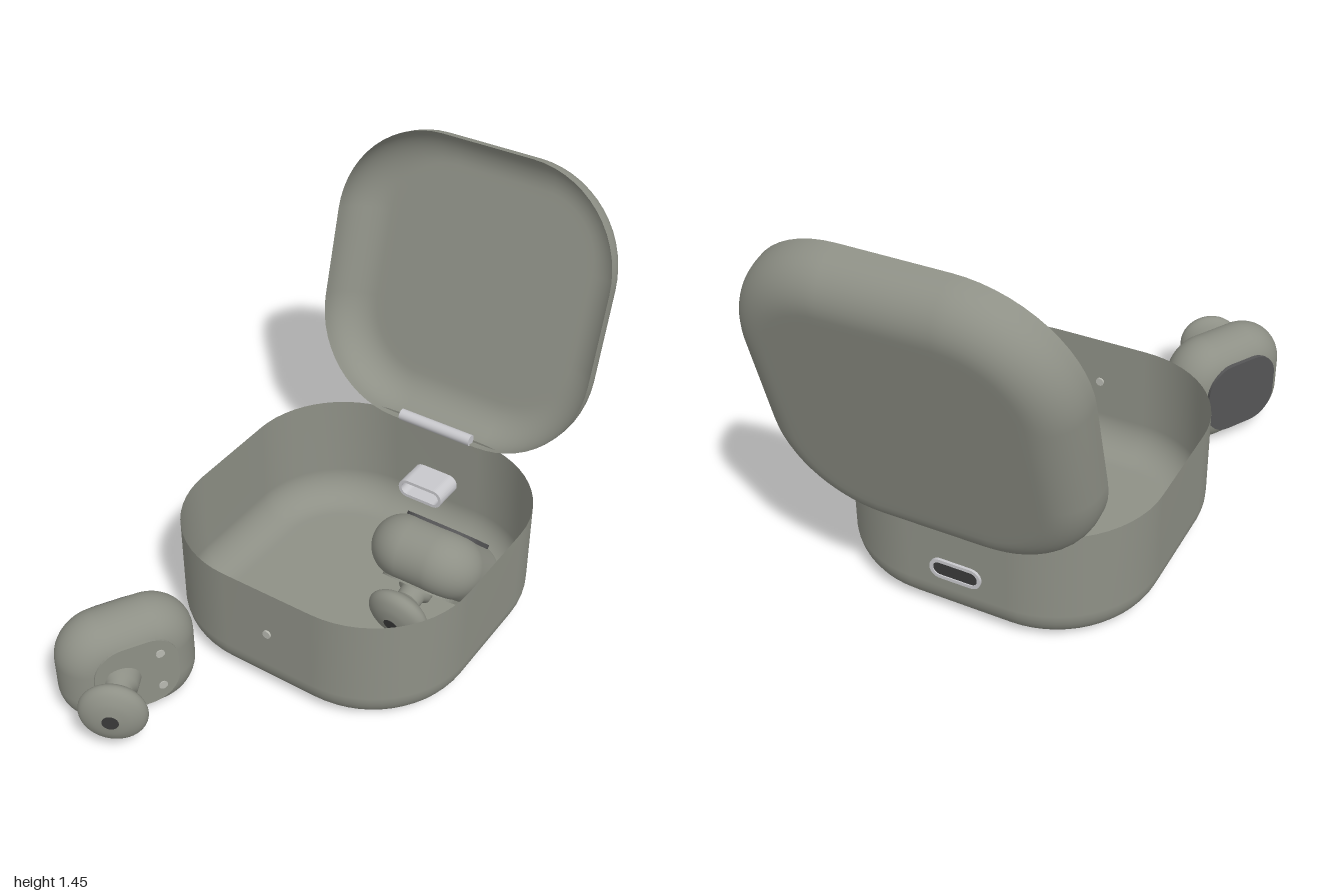
import * as THREE from 'three';

const mat = (name, color, side = THREE.FrontSide) => {
  const m = new THREE.MeshStandardMaterial({ color, side });
  m.name = name;
  return m;
};

// Rounded rectangle outline, counter-clockwise, half sizes a and b, corner radius r
function outline(a, b, r, steps = 14) {
  const pts = [];
  [[1, 1], [-1, 1], [-1, -1], [1, -1]].forEach(([sx, sy], q) => {
    for (let i = 0; i <= steps; i++) {
      const t = (q + i / steps) * Math.PI / 2;
      pts.push([sx * (a - r) + r * Math.cos(t), sy * (b - r) + r * Math.sin(t)]);
    }
  });
  return pts;
}

// Skin over rounded rectangles stacked along z; each level is [z, inset]
function loft(a, b, r, levels, capStart, capEnd) {
  const pos = [], idx = [];
  let n = 0;
  for (const [z, inset] of levels) {
    const ring = outline(a - inset, b - inset, Math.max(r - inset, 0.01));
    n = ring.length;
    ring.forEach(([x, y]) => pos.push(x, y, z));
  }
  for (let i = 0; i < levels.length - 1; i++) {
    for (let j = 0; j < n; j++) {
      const k = (j + 1) % n, p = i * n, q = p + n;
      idx.push(p + j, p + k, q + k, p + j, q + k, q + j);
    }
  }
  const cap = (level, flip) => {
    const c = pos.length / 3, p = level * n;
    pos.push(0, 0, levels[level][0]);
    for (let j = 0; j < n; j++) {
      const k = (j + 1) % n;
      if (flip) idx.push(c, p + k, p + j);
      else idx.push(c, p + j, p + k);
    }
  };
  if (capStart) cap(0, true);
  if (capEnd) cap(levels.length - 1, false);
  const g = new THREE.BufferGeometry();
  g.setAttribute('position', new THREE.Float32BufferAttribute(pos, 3));
  g.setIndex(idx);
  g.computeVertexNormals();
  return g;
}

// Open tray with a rounded floor edge
function tray(a, b, r, depth, fillet) {
  const levels = [[0, fillet + 0.03]];
  for (let i = 0; i <= 10; i++) {
    const t = i / 10 * Math.PI / 2;
    levels.push([fillet * (1 - Math.cos(t)), fillet * (1 - Math.sin(t))]);
  }
  levels.push([depth, 0]);
  return loft(a, b, r, levels, true, false);
}

// Rounded plate between two z levels
function plate(a, b, r, z0, z1, hole) {
  const toV = p => p.map(([x, y]) => new THREE.Vector2(x, y));
  const s = new THREE.Shape(toV(outline(a, b, r, 10)));
  if (hole) s.holes.push(new THREE.Path(toV(outline(a - hole, b - hole, r - hole, 10))));
  return new THREE.ExtrudeGeometry(s, { depth: z1 - z0, bevelEnabled: false }).translate(0, 0, z0);
}

export function createModel() {
  const model = new THREE.Group();
  const shell = mat('shell grey', 0x8e9086, THREE.DoubleSide);
  const pad = mat('touch pad dark grey', 0x555556);
  const dark = mat('opening black', 0x3a3a3a);
  const metal = mat('light metal', 0xc8c8cc);
  const light = mat('pale contact', 0xb8b9b1);

  const add = (parent, name, geometry, material) => {
    const m = new THREE.Mesh(geometry, material);
    m.name = name;
    parent.add(m);
    return m;
  };

  // Charging case base
  const base = add(model, 'caseBase', tray(0.53, 0.53, 0.36, 0.435, 0.12), shell);
  base.rotation.x = -Math.PI / 2;
  base.position.z = -0.11;

  // Lid, leaning back
  const lid = add(model, 'caseLid', tray(0.53, 0.523, 0.36, 0.155, 0.13), shell);
  lid.rotation.x = -Math.PI / 12;
  lid.position.set(0, 0.9, -0.892);

  // Hinge barrel
  const hinge = add(model, 'hinge', new THREE.CylinderGeometry(0.021, 0.021, 0.29, 20), metal);
  hinge.rotation.z = Math.PI / 2;
  hinge.position.set(0, 0.445, -0.622);

  // Charging port through the rear wall
  const port = new THREE.Group();
  port.name = 'chargingPort';
  port.position.set(0, 0.2, 0);
  add(port, 'portSleeve', plate(0.09, 0.037, 0.036, -0.649, -0.525, 0.012), metal);
  add(port, 'portOpening', plate(0.079, 0.026, 0.025, -0.645, -0.639), dark);
  model.add(port);

  // Status light on the front wall
  const led = add(model, 'statusLight', new THREE.CylinderGeometry(0.015, 0.015, 0.014, 20), light);
  led.rotation.x = Math.PI / 2;
  led.position.set(0, 0.26, 0.42);

  // Earbud: z points towards the ear, y towards the tip side
  function earbud(name) {
    const bud = new THREE.Group();
    bud.name = name;
    const h = 0.11, levels = [];
    levels.push([-h, h - 0.11 + 0.135]);
    for (let i = 0; i <= 20; i++) {
      const t = (i / 20 - 0.5) * Math.PI;
      levels.push([h * Math.sin(t), h * (1 - Math.cos(t))]);
    }
    levels.push([h, 0.135]);
    add(bud, 'budBody', loft(0.202, 0.228, 0.15, levels, true, true), shell);
    add(bud, 'touchPad', plate(0.135, 0.15, 0.1, -0.116, -0.09), pad);
    add(bud, 'innerPanel', plate(0.135, 0.14, 0.1, 0.09, 0.114), shell);
    for (const s of [-1, 1]) {
      const c = add(bud, 'chargeContact', new THREE.CylinderGeometry(0.015, 0.015, 0.012, 16), light);
      c.rotation.x = Math.PI / 2;
      c.position.set(s * 0.07, -0.08, 0.112);
    }
    // Stem and soft tip, turned towards the tip side
    const tip = new THREE.Group();
    tip.name = 'earTip';
    tip.rotation.x = Math.PI / 3;
    tip.position.set(0, 0.117, 0.213);
    const stem = [[0.062, -0.17], [0.06, -0.1], [0.045, -0.09], [0.042, -0.03]];
    add(tip, 'tipStem', new THREE.LatheGeometry(stem.map(p => new THREE.Vector2(...p)), 32), shell);
    const profile = [[0.038, -0.06], [0.06, -0.042], [0.095, -0.022], [0.111, 0.002],
      [0.1, 0.027], [0.065, 0.046], [0.025, 0.054]];
    const curve = new THREE.SplineCurve(profile.map(p => new THREE.Vector2(...p)));
    add(tip, 'softTip', new THREE.LatheGeometry(curve.getPoints(28), 40), shell);
    const hole = add(tip, 'soundOpening', new THREE.CylinderGeometry(0.027, 0.027, 0.008, 24), dark);
    hole.position.y = 0.051;
    bud.add(tip);
    model.add(bud);
    return bud;
  }

  const place = (bud, y, z, position) => {
    const Y = new THREE.Vector3(...y).normalize(), Z = new THREE.Vector3(...z).normalize();
    const X = new THREE.Vector3().crossVectors(Y, Z);
    bud.quaternion.setFromRotationMatrix(new THREE.Matrix4().makeBasis(X, Y, Z));
    bud.position.set(...position);
  };

  // One bud stands in front of the case, the other rests inside it
  place(earbud('rightEarbud'), [-0.5, 0, 0.866], [0.866, 0, 0.5], [-0.358, 0.207, 0.705]);
  place(earbud('leftEarbud'), [0, 1, 1], [0, -1, 1], [0.26, 0.25, -0.2]);

  return model;
}
